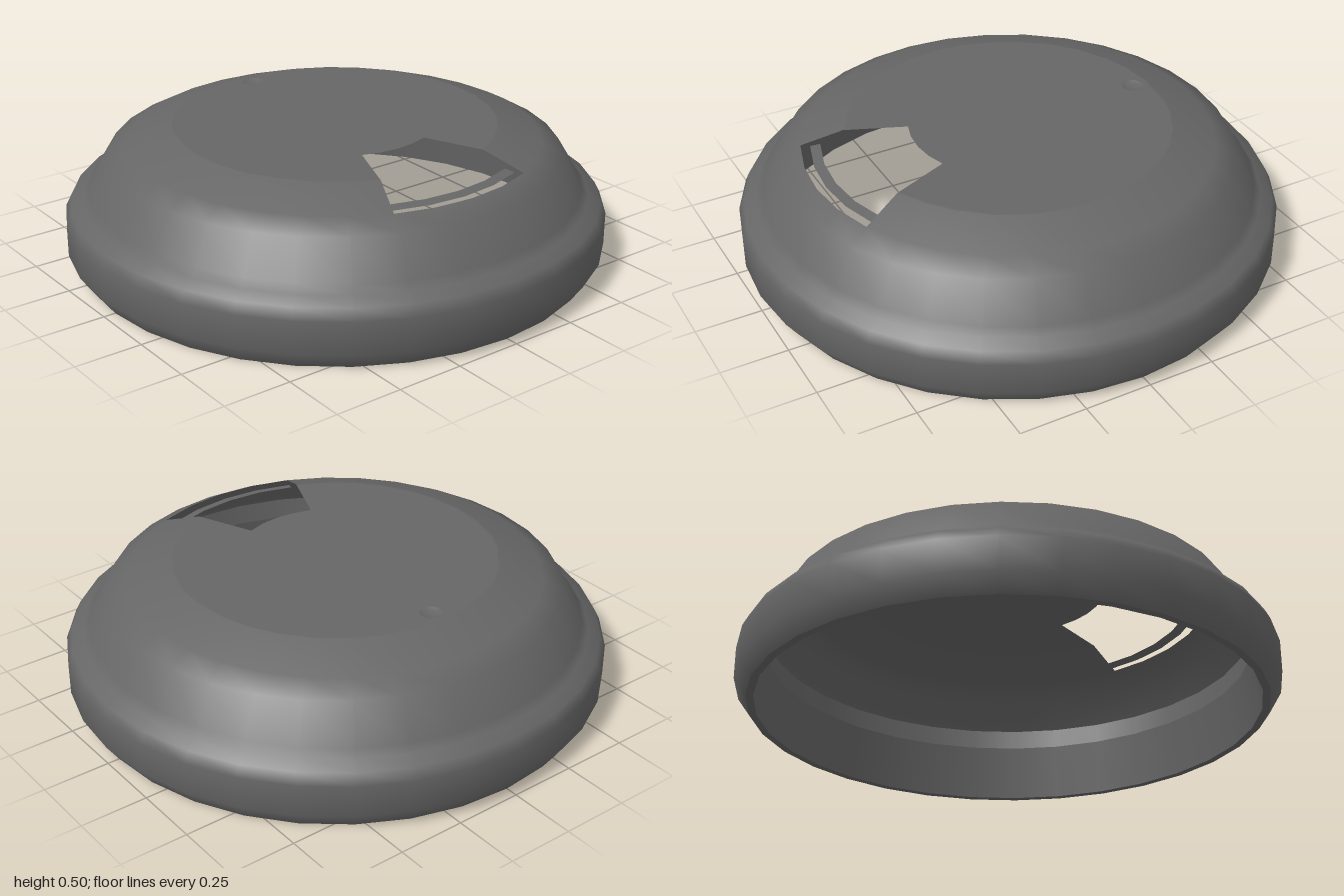
import * as THREE from 'three';

const SIDES = 32;
const STEP = (Math.PI * 2) / SIDES;
const TOP_Y = 0.5;
const TOP_R = 0.6;
const HOLE_INNER_R = 0.365;
const HOLE_HALF = 2; // half width of the drinking hole, in sides

const v2 = ([x, y]) => new THREE.Vector2(x, y);
const lathe = (points, sides = SIDES, start = 0, sweep = Math.PI * 2) =>
  new THREE.LatheGeometry(points.map(v2), sides, start, sweep);

// Shell around the flat top; the upper rows are left open at the drinking hole
function shellGeometry() {
  const profile = [
    [0.955, 0], [1, 0.065], [1, 0.185], [0.98, 0.225], [0.935, 0.247],
    [0.91, 0.275], [0.832, 0.405], [0.757, 0.445], [TOP_R, TOP_Y], [TOP_R - 0.01, TOP_Y],
  ];
  const geo = lathe(profile);
  const rows = profile.length - 1;
  const old = geo.index.array;
  const kept = [];
  for (let i = 0; i < SIDES; i++) {
    for (let j = 0; j < rows; j++) {
      const inHole = i < HOLE_HALF || i >= SIDES - HOLE_HALF;
      if (inHole && j >= rows - 2) continue;
      const at = (i * rows + j) * 6;
      for (let k = 0; k < 6; k++) kept.push(old[at + k]);
    }
  }
  geo.setIndex(kept);
  return geo;
}

// Flat top with a wedge cut out at the front and a round vent at the back
function topGeometry() {
  const at = (r, i) => v2([r * Math.sin(i * STEP), -r * Math.cos(i * STEP)]);
  const outline = [];
  for (let i = HOLE_HALF; i <= SIDES - HOLE_HALF; i++) outline.push(at(TOP_R, i));
  for (let i = -HOLE_HALF; i <= HOLE_HALF; i++) outline.push(at(HOLE_INNER_R, i));
  const shape = new THREE.Shape(outline);
  shape.holes.push(new THREE.Path().absarc(0, 0.535, 0.04, 0, Math.PI * 2, true));
  return new THREE.ShapeGeometry(shape, 8).rotateX(-Math.PI / 2);
}

export function createModel() {
  const plastic = new THREE.MeshStandardMaterial({ color: 0x666666, side: THREE.DoubleSide });
  plastic.name = 'dark grey plastic';
  const lid = new THREE.Group();
  lid.name = 'cupLid';

  const add = (name, geometry, y = 0, z = 0) => {
    const mesh = new THREE.Mesh(geometry, plastic);
    mesh.name = name;
    mesh.position.set(0, y, z);
    lid.add(mesh);
  };

  add('outerShell', shellGeometry());
  add('flatTop', topGeometry(), TOP_Y);

  // Shallow dimple filling the vent
  add('ventDimple', lathe([[0, -0.008], [0.025, -0.007], [0.04, 0]], 16), TOP_Y, -0.535);

  // Rim underside and the inner wall that grips the cup
  add('rimUnderside', lathe([[0.927, 0], [0.955, 0]]));
  add('innerWall', lathe([[0.902, 0.288], [0.896, 0.21]]));
  add('innerRimWall', lathe([[0.896, 0.21], [0.927, 0]]));

  // Narrow bar crossing the drinking hole
  add('holeBar', lathe([[0.722, 0.44], [0.685, 0.447]],
    HOLE_HALF * 2, -HOLE_HALF * STEP, HOLE_HALF * 2 * STEP));

  return lid;
}
